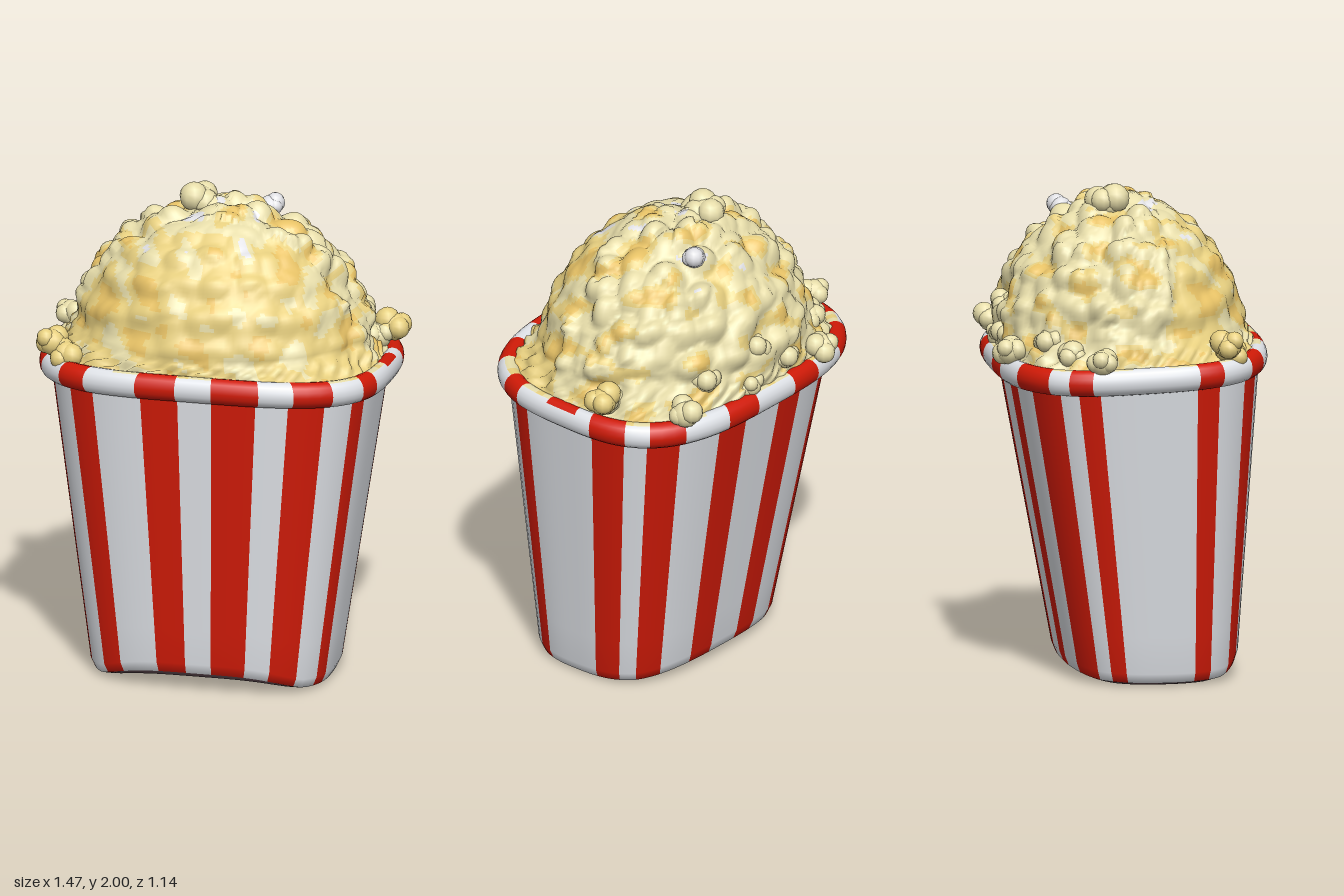
import * as THREE from 'three';
import { mergeGeometries } from 'three/addons/utils/BufferGeometryUtils.js';

const material = (name, color) => {
  const m = new THREE.MeshStandardMaterial({ color });
  m.name = name;
  return m;
};

// Small seeded generator
function seeded(seed) {
  return () => {
    seed = (seed * 16807) % 2147483647;
    return seed / 2147483647;
  };
}

// Closed loft: rows of rings, with one material index per quad
function loft(rows, cols, pointAt, materialAt) {
  const positions = [];
  const buckets = [];
  for (let i = 0; i < rows; i++)
    for (let j = 0; j < cols; j++) positions.push(...pointAt(i, j));
  for (let i = 0; i < rows - 1; i++)
    for (let j = 0; j < cols; j++) {
      const k = (j + 1) % cols;
      const a = i * cols + j, b = i * cols + k, c = a + cols, d = b + cols;
      (buckets[materialAt(i, j, a)] ??= []).push(a, c, b, b, c, d);
    }
  const geometry = new THREE.BufferGeometry();
  geometry.setAttribute('position', new THREE.Float32BufferAttribute(positions, 3));
  const index = [];
  buckets.forEach((list, m) => {
    geometry.addGroup(index.length, list.length, m);
    for (const v of list) index.push(v);
  });
  geometry.setIndex(index);
  geometry.computeVertexNormals();
  return geometry;
}

// Unit ring: a squarish oval, sampled by angle
function ring(angle) {
  const c = Math.cos(angle), s = Math.sin(angle);
  const r = (Math.abs(c) ** 3 + Math.abs(s) ** 3) ** (-1 / 3);
  return [c * r, s * r];
}

// Stripe edges in degrees: +x is 0, front is 90
const stripes = [
  [23, 32], [45, 57.5], [68, 83], [95, 108], [125, 135], [149, 159],
  [203, 212], [220, 235], [249, 261], [279, 292], [308, 320], [329, 344],
];

// Columns that fall exactly on the stripe edges
function stripeColumns() {
  const columns = [];
  const add = (from, to, red) => {
    const n = Math.max(3, Math.round((to - from) / 4));
    for (let k = 0; k < n; k++) {
      const degrees = from + ((to - from) * k) / n;
      columns.push({ degrees, angle: THREE.MathUtils.degToRad(degrees), red });
    }
  };
  stripes.forEach(([from, to], s) => {
    add(from, to, 1);
    add(to, s + 1 < stripes.length ? stripes[s + 1][0] : 360 + stripes[0][0], 0);
  });
  return columns;
}

export function createModel() {
  const group = new THREE.Group();
  const white = material('white card', 0xe3e6eb);
  const red = material('red card', 0xd01a07);
  const dark = material('dark base', 0x604a50);
  const cream = material('cream popcorn', 0xeae0ac);
  const butter = material('butter popcorn', 0xebd382);
  const amber = material('amber popcorn', 0xe7c266);
  const pale = material('pale popcorn', 0xe0e0e4);
  const corn = [cream, butter, amber, pale];
  const add = (name, geometry, mat) => {
    const mesh = new THREE.Mesh(geometry, mat);
    mesh.name = name;
    group.add(mesh);
    return mesh;
  };

  // Tapered striped tub with a dark, slightly arched underside
  const columns = stripeColumns();
  const base = [[0, 0], [0.5, 0], [0.9, 0], [0.975, 0.012], [1, 0.05]];
  const wallRows = 8;
  add('tub', loft(base.length + wallRows, columns.length, (i, j) => {
    const [u, v] = ring(columns[j].angle);
    const [scale, lift] = base[Math.min(i, base.length - 1)];
    const su = u * scale, sv = v * scale;
    const arch = Math.max(0, 1 - su ** 4 * 2);
    const floor = 0.012 + (sv > 0 ? 0.055 : 0.02) * sv * sv * arch + 0.015 * sv * sv;
    const t = Math.max(0, i - base.length + 1) / wallRows;
    const y = THREE.MathUtils.lerp(floor + lift, 1.29, t);
    const h = y / 1.27;
    return [
      su * THREE.MathUtils.lerp(0.49, 0.665, h),
      y,
      THREE.MathUtils.lerp(0.105, 0.03, h) + sv * THREE.MathUtils.lerp(0.345, 0.505, h),
    ];
  }, (i, j) => (i < 3 ? 2 : columns[j].red)), [white, red, dark]);

  // Rolled rim with the same stripes; popcorn spills over its white tops
  const rimSteps = 14;
  add('rim', loft(rimSteps + 1, columns.length, (i, j) => {
    const [u, v] = ring(columns[j].angle);
    const a = -Math.PI * 0.75 + (i / rimSteps) * Math.PI * 1.75;
    const out = Math.cos(a) * 0.042;
    return [
      u * (0.676 + out),
      1.305 + 0.02 * v - 0.012 * u * u + Math.sin(a) * 0.054,
      0.015 + v * (0.513 + out),
    ];
  }, (i, j) => {
    const { red: isRed, degrees } = columns[j];
    if (isRed || (i > 7 && degrees > 348 && degrees < 366)) return 1;
    const bare = Math.sin(degrees * 0.11 + 1) > 0.75;
    return i > (bare ? 11 : 8) ? 2 + (j % 3 === 0 ? 1 : 0) : 0;
  }), [white, red, cream, butter]);

  // Popcorn heap: a dome pushed out by many small puffs
  const random = seeded(4127);
  const puffs = Array.from({ length: 330 }, () => {
    const y = random() * 1.05 - 0.05, a = random() * Math.PI * 2;
    const r = Math.sqrt(Math.max(0, 1 - y * y));
    return [r * Math.cos(a), y, r * Math.sin(a), 0.5 + random() * 0.8];
  });
  const heapCols = 180, heapRows = 68, skirt = 8;
  const spots = [];
  // Buttery on the front, creamy with amber flecks on the top and back
  const tint = (x, y, z) => {
    const n = Math.sin(x * 25 + Math.sin(y * 31) * 1.4) + Math.sin(y * 38 + z * 17 + Math.sin(x * 21))
      + Math.sin(z * 27 - x * 15 + Math.sin(x * 33 + y * 9));
    const front = z + (1.5 - y) * 0.25 > 0.12;
    if (n < -2.45 && y > 1.78) return 3;
    if (front) return n > 1.25 ? 2 : n > -1.15 ? 1 : 0;
    return n > 1.75 ? 2 : n > 0.7 ? 1 : 0;
  };
  const heapPoint = (i, j) => {
    const a = (j / heapCols) * Math.PI * 2;
    const t = Math.max(0, (i - skirt) / (heapRows - 1 - skirt));
    const lat = 0.2 + t * (Math.PI / 2 - 0.2);
    const p = [Math.cos(lat) * Math.cos(a), Math.sin(lat), Math.cos(lat) * Math.sin(a)];
    let best = Infinity, size = 1;
    for (const q of puffs) {
      const d = (p[0] - q[0]) ** 2 + (p[1] - q[1]) ** 2 + (p[2] - q[2]) ** 2;
      if (d < best) { best = d; size = q[3]; }
    }
    const depth = (p[2] > 0.25 ? 0.024 : 0.06) * size;
    const ledge = 0.013 * Math.sin(lat * 27 + a + Math.sin(a * 3)) * Math.cos(lat);
    const s = 0.98 + ledge + depth * Math.max(-0.3, 1 - best / 0.012);
    let x = p[0] * 0.615 * s, y = 1.3 + p[1] * 0.645 * s, z = p[2] * 0.52 * s;
    if (i < skirt) {
      // Loose corn sloping from the rim up to the dome
      const [u, v] = ring(a), k = i / skirt;
      const bump = 0.014 * Math.sin(a * 31 + k * 3) * Math.sin(k * 9 + a * 13) * Math.sin(k * Math.PI);
      x = THREE.MathUtils.lerp(u * 0.672, x, k) + u * bump;
      z = THREE.MathUtils.lerp(0.015 + v * 0.51, z, k) + v * bump;
      y = THREE.MathUtils.lerp(1.335 + 0.02 * v - 0.012 * u * u, y, k ** 1.3) + bump;
    }
    return [x, y, z];
  };
  add('popcornHeap', loft(heapRows, heapCols, (i, j) => {
    const p = heapPoint(i, j);
    spots.push(tint(...p));
    return p;
  }, (i, j, a) => spots[a]), corn);

  // Single popped kernels: overlapping lobes around a core
  const kernel = (radius) => {
    const lobes = [new THREE.SphereGeometry(radius * 0.75, 12, 9)];
    for (let k = 0; k < 4; k++) {
      const lobe = new THREE.SphereGeometry(radius * (0.5 + random() * 0.2), 10, 8);
      const a = (k / 4) * Math.PI * 2 + random();
      lobe.translate(Math.cos(a) * radius * 0.42, (random() - 0.4) * radius * 0.6, Math.sin(a) * radius * 0.42);
      lobes.push(lobe);
    }
    return mergeGeometries(lobes);
  };
  const kernels = [
    [-0.11, 1.925, -0.07, 0.085, 0], [0.14, 1.87, -0.22, 0.06, 3],
    [-0.62, 1.42, 0.35, 0.072, 1], [-0.56, 1.38, 0.37, 0.07, 1],
    [-0.67, 1.37, -0.17, 0.07, 0], [0.67, 1.415, -0.18, 0.075, 1],
    [0.61, 1.38, -0.15, 0.07, 0], [-0.33, 1.37, -0.5, 0.07, 0],
    [0.47, 1.37, -0.45, 0.075, 0], [0.1, 1.36, -0.48, 0.06, 0],
    [-0.12, 1.4, -0.48, 0.06, 0], [0.3, 1.44, -0.41, 0.07, 0],
    [-0.42, 1.42, -0.35, 0.07, 0], [0.04, 1.5, -0.46, 0.06, 0],
    [-0.52, 1.39, -0.27, 0.065, 0],
  ];
  for (const [x, y, z, r, m] of kernels) add('kernel', kernel(r), corn[m]).position.set(x, y, z);

  return group;
}
